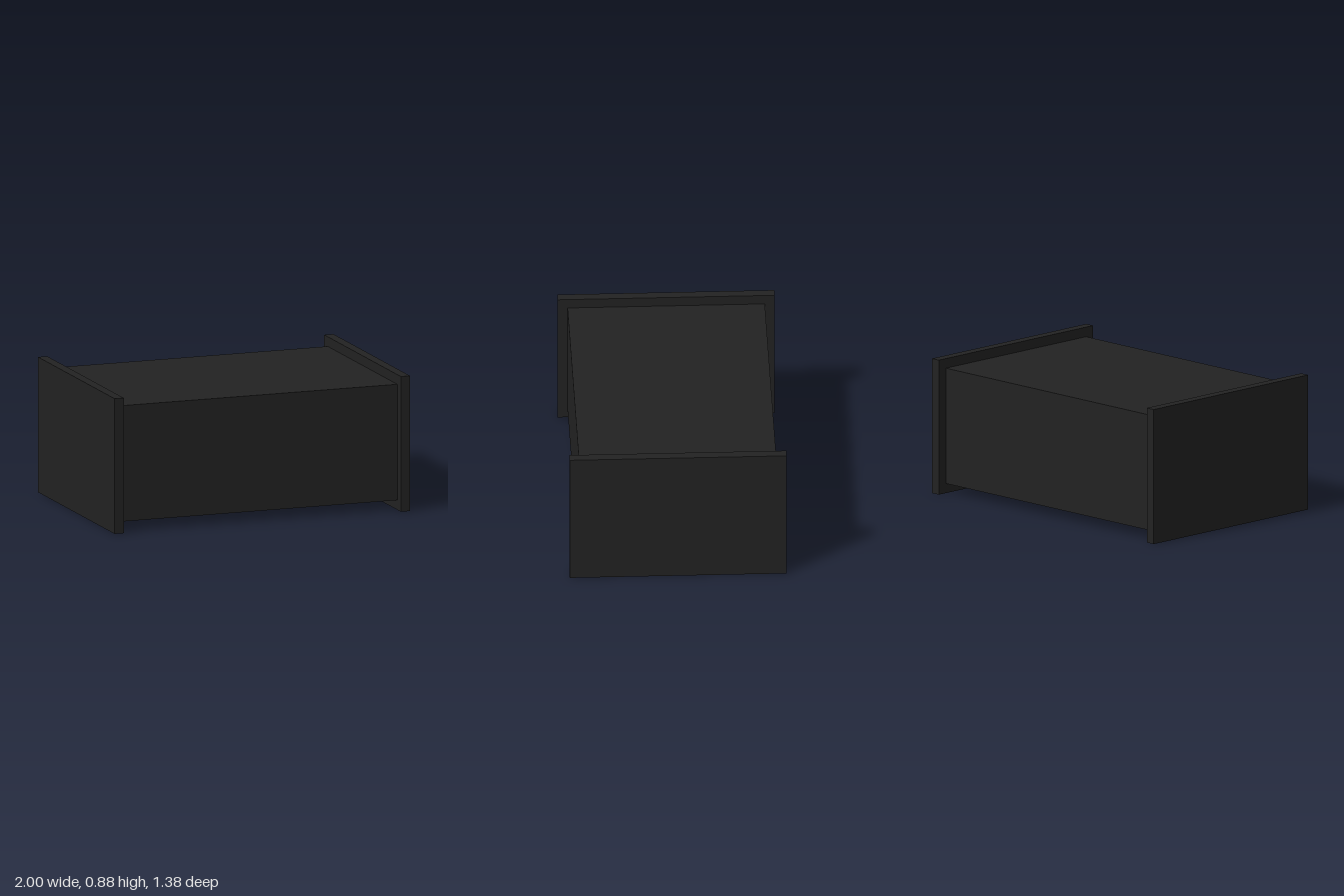
import * as THREE from 'three';

export function createModel() {
  const group = new THREE.Group();
  const black = new THREE.MeshStandardMaterial({ color: 0x222222 });
  black.name = 'charcoal';

  const addBox = (name, size, x) => {
    const mesh = new THREE.Mesh(new THREE.BoxGeometry(...size), black);
    mesh.name = name;
    mesh.position.set(x, 0.4375, 0);
    group.add(mesh);
  };

  // Main block between the end plates
  addBox('body', [1.875, 0.75, 1.25], 0);

  // Mirrored end plates, overhanging the body on all four edges
  for (const side of [1, -1]) {
    addBox(side > 0 ? 'leftEndPlate' : 'rightEndPlate', [0.0625, 0.875, 1.375], side * 0.96875);
  }
  return group;
}
